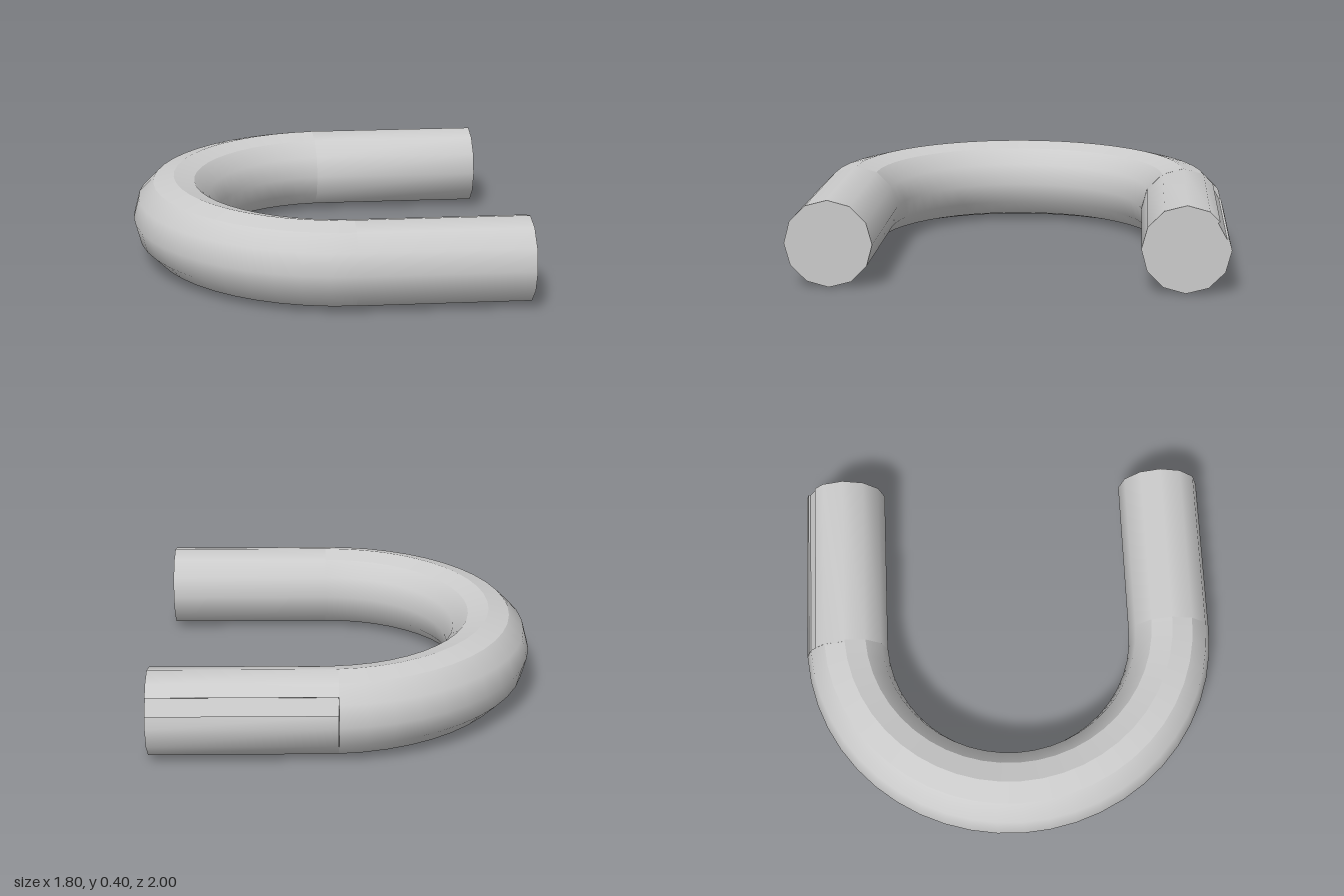
import * as THREE from 'three';
import { toCreasedNormals } from 'three/addons/utils/BufferGeometryUtils.js';

const BAR = 0.2;       // bar radius
const BEND = 0.8;      // bend radius, to the bar's centre line
const BEND_X = 0.1;    // where the bend meets the straight legs
const END_X = 0.9;     // cut ends of the legs
const SHORT = 0.063;   // the bend stops a little early where the groove starts
const rad = THREE.MathUtils.degToRad;

export function createModel() {
  const model = new THREE.Group();
  model.name = 'bentBar';
  const material = new THREE.MeshStandardMaterial({ color: 0xcccccc });

  const add = (name, geometry, x, y, z, parent = model) => {
    const mesh = new THREE.Mesh(geometry, material);
    mesh.name = name;
    mesh.position.set(x, y, z);
    parent.add(mesh);
    return mesh;
  };

  // Half-round bend: smooth outer and inner walls, creased bands above and below
  const bend = new THREE.Group();
  bend.name = 'bend';
  model.add(bend);
  const bands = [
    ['outerWall', -60, 60], ['topOuterBand', 60, 90], ['topInnerBand', 90, 120],
    ['innerWall', 120, 240], ['bottomInnerBand', 240, 270], ['bottomOuterBand', 270, 300],
  ];
  for (const [name, from, to] of bands) {
    const profile = [];
    for (let a = from; a <= to; a += 30) {
      profile.push(new THREE.Vector2(BEND + BAR * Math.cos(rad(a)), BAR * Math.sin(rad(a))));
    }
    const band = new THREE.LatheGeometry(profile, 24, Math.PI + SHORT, Math.PI - SHORT);
    add(name, band, BEND_X, BAR, 0, bend);
  }

  // End wall of the bend, which closes the groove
  const wall = new THREE.CircleGeometry(BAR, 12).rotateY(Math.PI / 2 + SHORT);
  add('grooveEnd', wall, BEND_X - BEND * Math.sin(SHORT), BAR, -BEND * Math.cos(SHORT), bend);

  // Plain front leg
  const length = END_X - BEND_X;
  const plain = new THREE.CylinderGeometry(BAR, BAR, length, 12).rotateZ(-Math.PI / 2);
  add('frontLeg', plain, BEND_X + length / 2, BAR, BEND);

  // Back leg with a shallow groove cut along its upper outer edge
  const groove = [[0.185, 0.056], [0.176, 0.051], [0.136, 0.123], [0.145, 0.128]];
  const section = [];
  for (let i = 0; i < 12; i++) {
    const a = rad(i * 30);
    if (i === 1) section.push(...groove.map(([u, v]) => new THREE.Vector2(u, v)));
    else section.push(new THREE.Vector2(BAR * Math.cos(a), BAR * Math.sin(a)));
  }
  const startX = 0.04;
  const grooved = new THREE.ExtrudeGeometry(new THREE.Shape(section), {
    depth: END_X - startX, bevelEnabled: false,
  }).rotateY(Math.PI / 2);
  add('backLeg', toCreasedNormals(grooved, rad(35)), startX, BAR, -BEND);

  return model;
}
